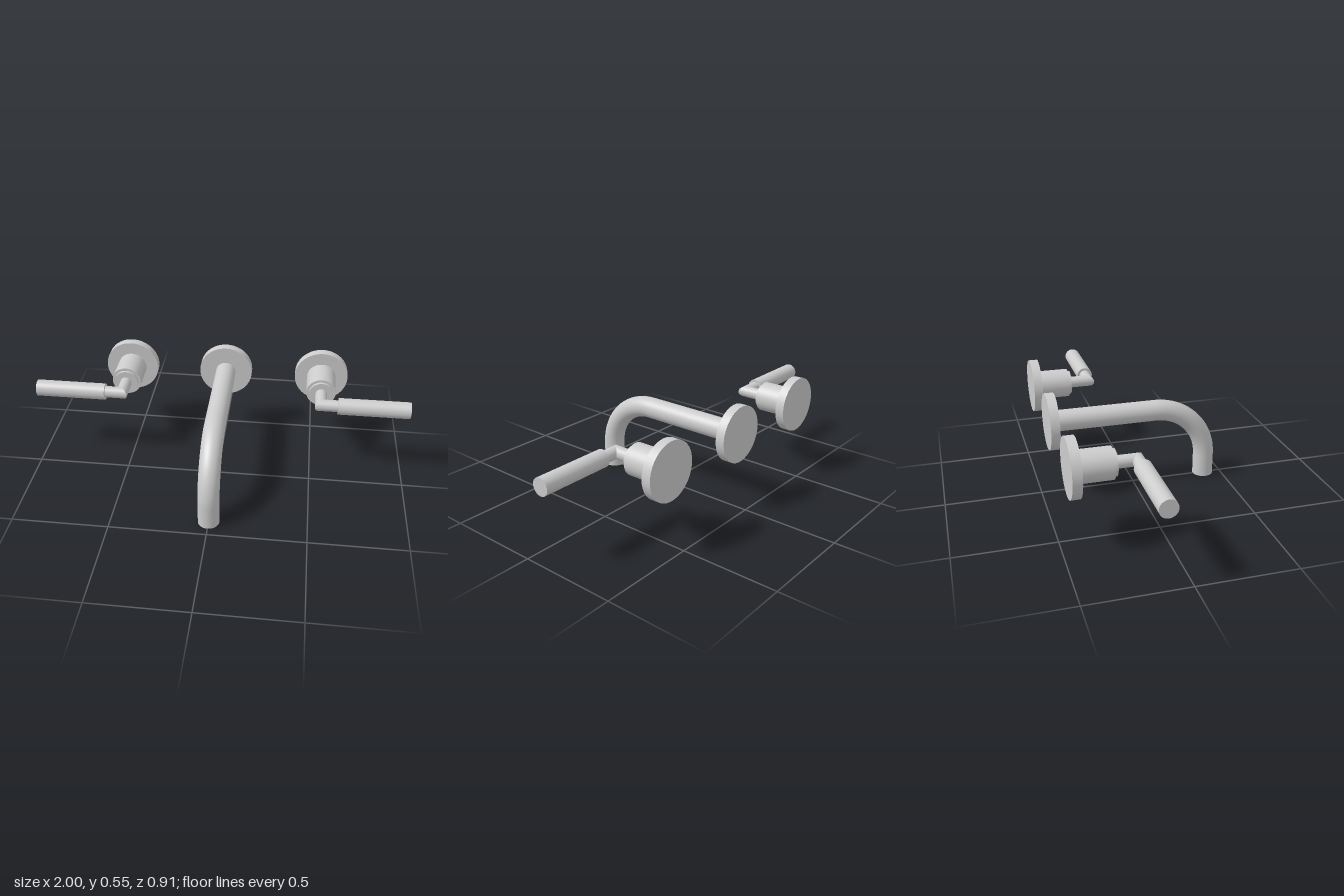
import * as THREE from 'three';

const material = new THREE.MeshStandardMaterial({ color: 0xcccccc });
const AXIS_Y = 0.402;   // height of all three wall axes
const WALL_Z = -0.456;  // back of the wall plates
const PLATE_Z = -0.409; // front of the wall plates

function addMesh(parent, name, geometry) {
  const mesh = new THREE.Mesh(geometry, material);
  mesh.name = name;
  parent.add(mesh);
  return mesh;
}

// Cylinder along z between two depths
function rod(parent, name, radius, z0, z1) {
  const geo = new THREE.CylinderGeometry(radius, radius, z1 - z0, 48);
  geo.rotateX(Math.PI / 2).translate(0, 0, (z0 + z1) / 2);
  return addMesh(parent, name, geo);
}

// Open pipe along y from 0 to length, one end cut at 45 degrees
function mitredPipe(radius, length, atTop, axis) {
  const geo = new THREE.CylinderGeometry(radius, radius, length, 32, 1, true);
  geo.translate(0, length / 2, 0);
  const p = geo.attributes.position;
  for (let i = 0; i < p.count; i++) {
    if ((p.getY(i) > length / 2) === atTop) {
      p.setY(i, p.getY(i) - (axis === 'x' ? p.getX(i) : p.getZ(i)));
    }
  }
  return geo;
}

// Handle around its own wall axis, lever pointing to +x
function createHandle(name) {
  const handle = new THREE.Group();
  handle.name = name;
  const elbowZ = -0.124, stemRadius = 0.031;
  rod(handle, 'wallPlate', 0.146, WALL_Z, PLATE_Z);
  rod(handle, 'hub', 0.079, PLATE_Z, -0.245);
  rod(handle, 'collar', 0.065, -0.245, -0.23);

  // Stem and arm meet in a mitred elbow
  const stem = mitredPipe(stemRadius, elbowZ + 0.23, true, 'x');
  addMesh(handle, 'stem', stem.rotateX(Math.PI / 2).translate(0, 0, -0.23));
  const arm = mitredPipe(stemRadius, 0.092, false, 'z');
  addMesh(handle, 'arm', arm.rotateZ(-Math.PI / 2).translate(0, 0, elbowZ));

  const lever = new THREE.CylinderGeometry(0.044, 0.044, 0.375, 48);
  lever.rotateZ(-Math.PI / 2).translate(0.09 + 0.1875, 0, elbowZ);
  addMesh(handle, 'lever', lever);
  return handle;
}

// Spout: straight run, quarter bend and vertical outlet
function createSpout() {
  const spout = new THREE.Group();
  spout.name = 'spout';
  const radius = 0.055, bend = 0.28, bendY = AXIS_Y - bend, bendZ = 0.122;
  rod(spout, 'spoutPlate', 0.146, WALL_Z, PLATE_Z).position.y = AXIS_Y;
  rod(spout, 'spoutPipe', radius, PLATE_Z, bendZ).position.y = AXIS_Y;

  const elbow = new THREE.TorusGeometry(bend, radius, 48, 32, Math.PI / 2);
  addMesh(spout, 'spoutBend', elbow.rotateY(-Math.PI / 2).translate(0, bendY, bendZ));

  const outlet = new THREE.CylinderGeometry(radius, radius, bendY, 48);
  addMesh(spout, 'spoutOutlet', outlet.translate(0, bendY / 2, bendZ + bend));
  return spout;
}

export function createModel() {
  const model = new THREE.Group();
  model.name = 'wallFaucet';
  model.add(createSpout());
  for (const side of [1, -1]) {
    const handle = createHandle(side > 0 ? 'leftHandle' : 'rightHandle');
    handle.position.set(side * 0.535, AXIS_Y, 0);
    if (side < 0) handle.rotation.z = Math.PI; // half turn points the lever to -x
    model.add(handle);
  }
  return model;
}
